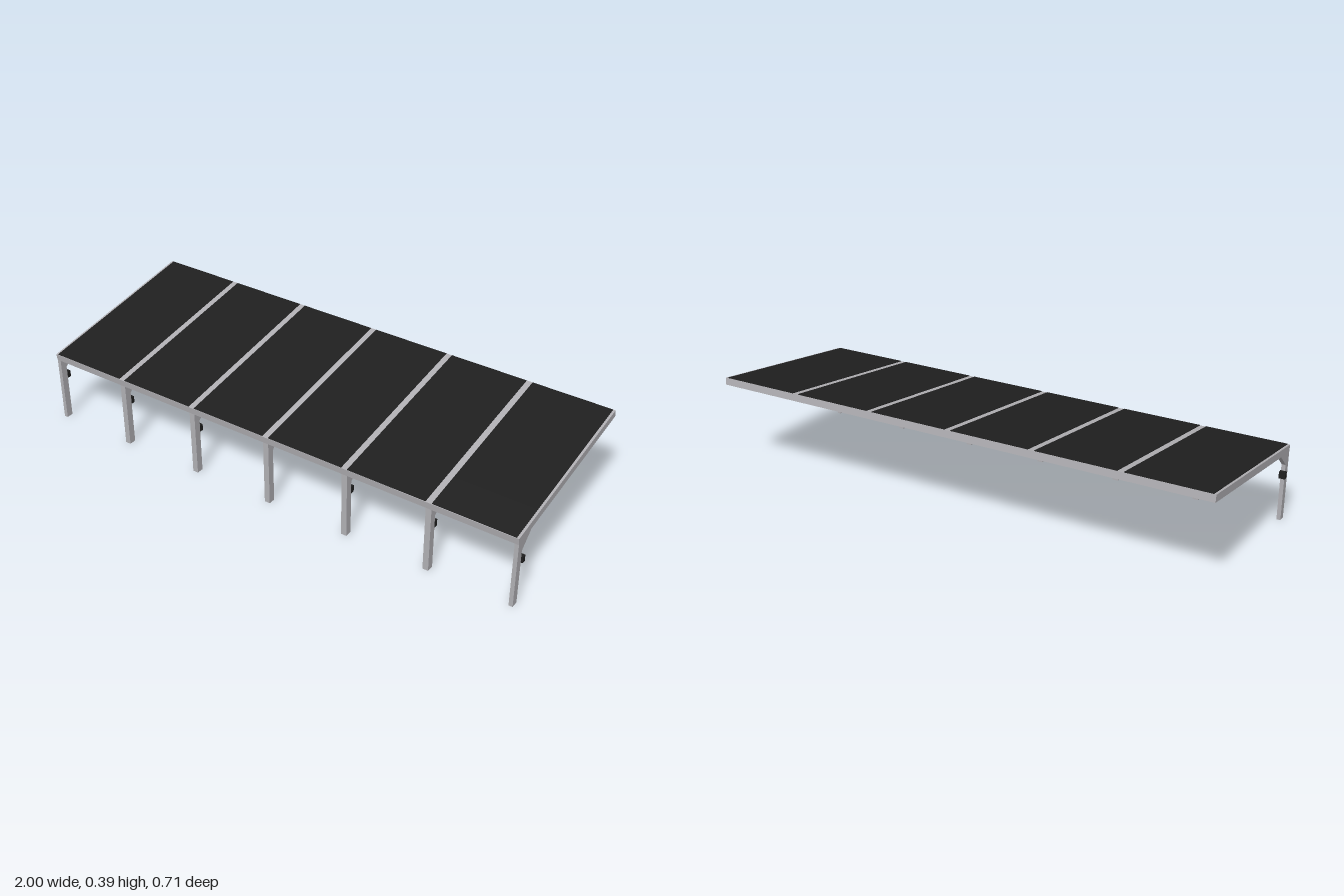
import * as THREE from 'three';

export function createModel() {
  const model = new THREE.Group();
  model.name = 'solarCarport';
  const steel = new THREE.MeshStandardMaterial({ color: 0xb0afb3 });
  steel.name = 'grey steel';
  const black = new THREE.MeshStandardMaterial({ color: 0x1f1f1f });
  black.name = 'panel black';

  const add = (parent, name, geometry, material, x, y, z) => {
    const mesh = new THREE.Mesh(geometry, material);
    mesh.name = name;
    mesh.position.set(x, y, z);
    parent.add(mesh);
    return mesh;
  };
  const box = (parent, name, material, [w, h, d], [x, y, z]) =>
    add(parent, name, new THREE.BoxGeometry(w, h, d), material, x, y, z);

  // Sloping roof, higher at the back
  const roof = new THREE.Group();
  roof.name = 'roof';
  roof.position.y = 0.3243;
  roof.rotation.x = 0.14;
  model.add(roof);
  const depth = 0.712;
  const thick = 0.027;
  box(roof, 'roofDeck', steel, [1.986, thick, depth], [0, -0.001, 0]);

  // Six bays of panels, five rows each, with bare strips between the bays
  const bays = 6, rows = 5, pitch = 0.331, rowDepth = (depth - 0.004) / rows;
  for (let i = 0; i < bays; i++) {
    const first = i === 0, last = i === bays - 1;
    const x0 = first ? -0.984 : (i - 3) * pitch + 0.012;
    const x1 = last ? 0.984 : (i - 2) * pitch - 0.012;
    for (let r = 0; r < rows; r++) {
      box(roof, 'solarPanel', black, [x1 - x0, 0.002, rowDepth],
        [(x0 + x1) / 2, 0.0135, (r - (rows - 1) / 2) * rowDepth]);
    }
  }

  // Posts along the front edge, each with a gusset; all but the middle carry a box
  const gusset = new THREE.Shape([
    new THREE.Vector2(-0.323, 0.22),
    new THREE.Vector2(-0.323, 0.278),
    new THREE.Vector2(-0.262, 0.278),
    new THREE.Vector2(-0.265, 0.272),
  ]);
  for (let i = -3; i <= 3; i++) {
    const end = Math.abs(i) === 3;
    const width = end ? 0.015 : 0.022;
    const x = end ? Math.sign(i) * 0.9855 : i * pitch;
    box(model, 'post', steel, [width, 0.27, 0.027], [x, 0.135, 0.3365]);

    // Shape x runs along -z after the turn
    const brace = add(model, 'gusset',
      new THREE.ExtrudeGeometry(gusset, { depth: width, bevelEnabled: false }),
      steel, x - width / 2, 0, 0);
    brace.rotation.y = Math.PI / 2;

    if (i !== 0) {
      const boxX = end ? Math.sign(i) * 0.988 : x;
      box(model, 'controlBox', black, [0.024, 0.026, 0.015], [boxX, 0.183, 0.3155]);
    }
  }
  return model;
}
